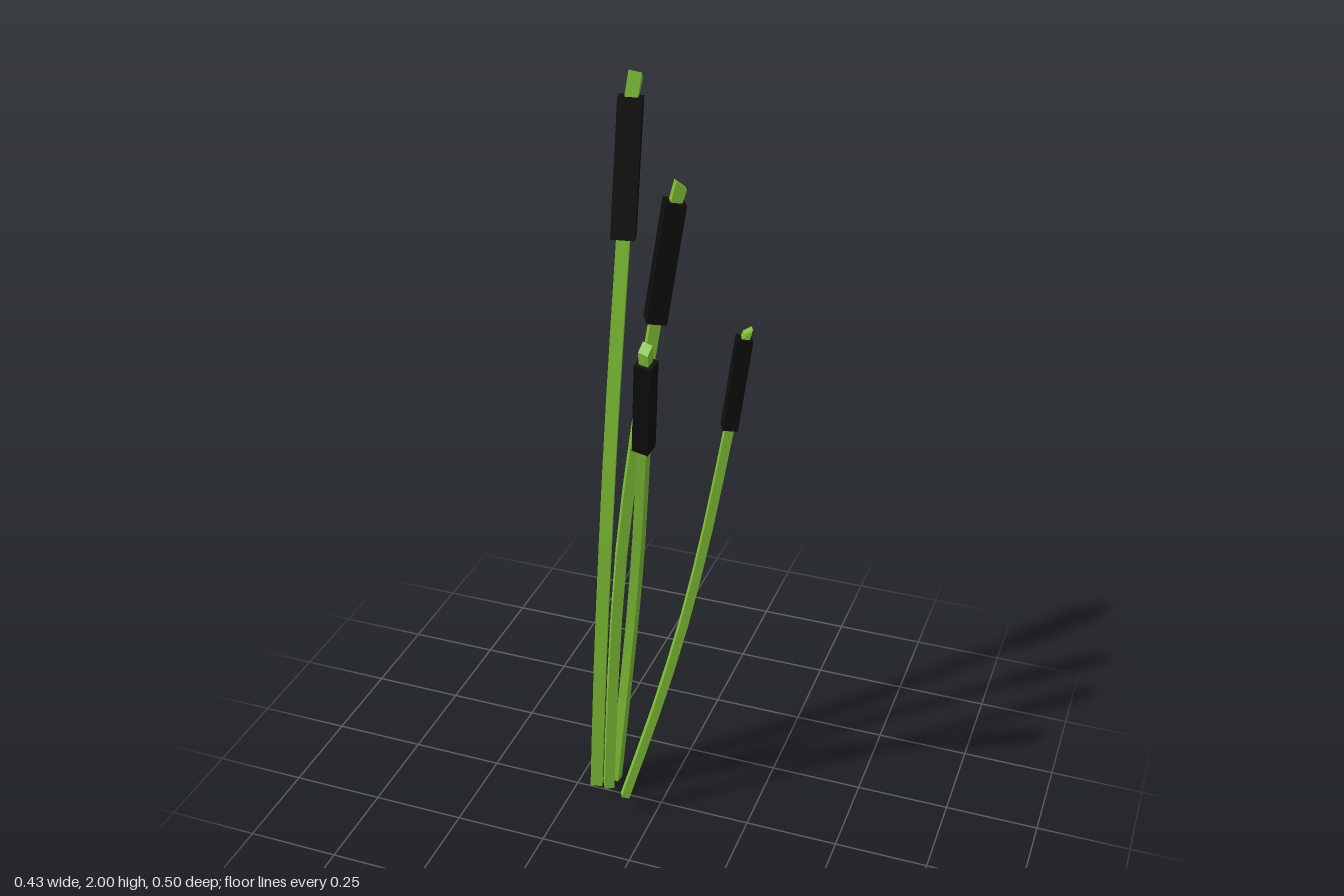
import * as THREE from 'three';

const green = new THREE.MeshStandardMaterial({ color: 0x7fbf35, flatShading: true });
const black = new THREE.MeshStandardMaterial({ color: 0x0e0e0e, flatShading: true });

// Square bar swept along a curve; yaw is the x/z direction of one edge,
// tilt is the x/z slope of the cut at the top end.
function squareSweep(curve, segments, width, yaw, tilt) {
  const pos = [], index = [], h = width / 2;
  const edge = new THREE.Vector3(yaw[0], 0, yaw[1]).normalize();
  for (let i = 0; i <= segments; i++) {
    const p = curve.getPoint(i / segments), t = curve.getTangent(i / segments);
    const u = edge.clone().addScaledVector(t, -edge.dot(t)).normalize();
    const w = t.clone().cross(u);
    for (const [a, b] of [[1, 1], [-1, 1], [-1, -1], [1, -1]]) {
      const o = u.clone().multiplyScalar(a * h).addScaledVector(w, b * h);
      if (i === segments && tilt) o.y = o.x * tilt[0] + o.z * tilt[1];
      pos.push(p.x + o.x, p.y + o.y, p.z + o.z);
    }
  }
  for (let i = 0; i < segments; i++) {
    for (let j = 0; j < 4; j++) {
      const a = i * 4 + j, b = i * 4 + (j + 1) % 4;
      index.push(a, b, b + 4, a, b + 4, a + 4);
    }
  }
  const e = segments * 4;
  index.push(0, 2, 1, 0, 3, 2, e, e + 1, e + 2, e, e + 2, e + 3);
  const g = new THREE.BufferGeometry();
  g.setAttribute('position', new THREE.Float32BufferAttribute(pos, 3));
  g.setIndex(index);
  const flat = g.toNonIndexed();
  flat.computeVertexNormals();
  return flat;
}

// path: stem points up to the seed head's bottom; top: head's top; tip: stem end
const reeds = [
  {
    path: [[-0.2, 0.003, -0.02], [-0.186, 0.4, -0.028], [-0.172, 0.8, -0.05], [-0.162, 1.2, -0.093], [-0.155, 1.6, -0.157]],
    top: [-0.154, 1.935, -0.213], tip: [-0.146, 1.985, -0.226],
    stem: 0.033, head: 0.06, yaw: [17, -5], tilt: [0, 0.8],
  },
  {
    path: [[-0.146, 0.04, 0.023], [-0.133, 0.4, 0.014], [-0.109, 0.8, 0.001], [-0.072, 1.15, -0.02], [-0.031, 1.45, -0.041]],
    top: [0.01, 1.75, -0.063], tip: [0.022, 1.79, -0.069],
    stem: 0.027, head: 0.05, yaw: [49, -27], tilt: [-0.7, 0.38],
  },
  {
    path: [[-0.14, 0.04, -0.016], [-0.106, 0.33, 0.002], [-0.067, 0.62, 0.036], [-0.025, 0.92, 0.093], [0.017, 1.22, 0.169]],
    top: [0.046, 1.475, 0.228], tip: [0.046, 1.512, 0.233],
    stem: 0.025, head: 0.042, yaw: [25, 3], tilt: [-0.15, -0.75],
  },
  {
    path: [[-0.08, 0.06, 0.07], [-0.005, 0.34, 0.031], [0.061, 0.62, -0.002], [0.115, 0.91, -0.028], [0.158, 1.19, -0.049]],
    top: [0.187, 1.43, -0.062], tip: [0.193, 1.448, -0.07],
    stem: 0.022, head: 0.038, yaw: [40, -19], tilt: [0.45, -0.22],
  },
];

export function createModel() {
  const model = new THREE.Group();
  model.name = 'reeds';
  const v = (p) => new THREE.Vector3(...p);
  for (const r of reeds) {
    const reed = new THREE.Group();
    reed.name = 'reed';
    const bottom = r.path[r.path.length - 1];

    // Bent stem running up into the head
    const stemCurve = new THREE.CatmullRomCurve3(r.path.map(v));
    const stem = new THREE.Mesh(squareSweep(stemCurve, 8, r.stem, r.yaw), green);
    stem.name = 'stem';

    // Dark seed head
    const headCurve = new THREE.LineCurve3(v(bottom), v(r.top));
    const head = new THREE.Mesh(squareSweep(headCurve, 1, r.head, r.yaw), black);
    head.name = 'seedHead';

    // Short stem end above the head, cut at a slant
    const start = v(r.top).lerp(v(bottom), 0.05);
    const tip = new THREE.Mesh(
      squareSweep(new THREE.LineCurve3(start, v(r.tip)), 1, r.stem * 0.97, r.yaw, r.tilt), green);
    tip.name = 'stemTip';

    reed.add(stem, head, tip);
    model.add(reed);
  }
  return model;
}
